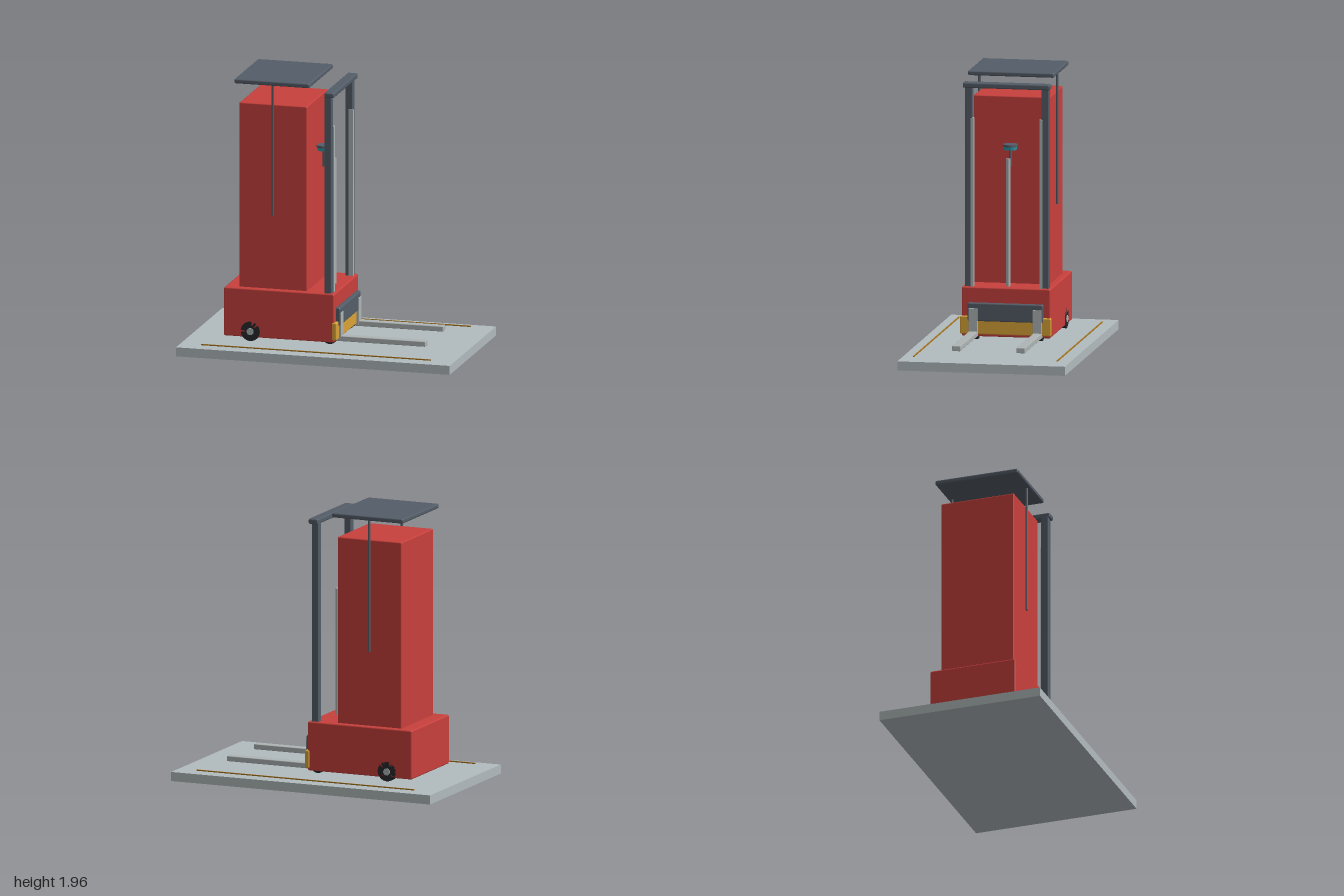
import * as THREE from 'three';
import { RoundedBoxGeometry } from 'three/addons/geometries/RoundedBoxGeometry.js';

const paint = (color) => new THREE.MeshStandardMaterial({ color });

export function createModel() {
  const model = new THREE.Group();
  const red = paint(0xc8403c);
  const dark = paint(0x545d68);
  const steel = paint(0xaeb4b5);
  const floor = paint(0xb2bbbe);
  const yellow = paint(0xdaa236);
  const ochre = paint(0xa8761f);
  const teal = paint(0x2fa5b5);
  const rubber = paint(0x25282c);

  const add = (name, geometry, material, x, y, z) => {
    const mesh = new THREE.Mesh(geometry, material);
    mesh.name = name;
    mesh.position.set(x, y, z);
    model.add(mesh);
    return mesh;
  };

  // Box given by its extents on each axis, with an optional rounded edge
  const box = (name, material, [x0, x1], [y0, y1], [z0, z1], r = 0) => {
    const size = [x1 - x0, y1 - y0, z1 - z0];
    const geometry = r ? new RoundedBoxGeometry(...size, 2, r) : new THREE.BoxGeometry(...size);
    return add(name, geometry, material, (x0 + x1) / 2, (y0 + y1) / 2, (z0 + z1) / 2);
  };

  // Upright cylinder between two heights
  const post = (name, material, r, x, [y0, y1], z, rBottom = r) =>
    add(name, new THREE.CylinderGeometry(r, rBottom, y1 - y0, 32), material, x, (y0 + y1) / 2, z);

  // Cylinder lying along z
  const disc = (name, material, r, width, x, y, z) => {
    const mesh = add(name, new THREE.CylinderGeometry(r, r, width, 32), material, x, y, z);
    mesh.rotation.x = Math.PI / 2;
  };

  // Floor slab
  box('floorSlab', floor, [-1, 1], [0, 0.065], [-0.6, 0.6]);

  // Chassis and tower
  box('chassis', red, [-0.73, 0.075], [0.102, 0.453], [-0.318, 0.318], 0.01);
  box('tower', red, [-0.63, -0.135], [0.44, 1.787], [-0.272, 0.272], 0.008);

  // Overhead guard and mast top
  box('roofPanel', dark, [-0.657, -0.108], [1.93, 1.963], [-0.308, 0.308], 0.01);
  box('mastCrossbar', dark, [0, 0.072], [1.87, 1.908], [-0.312, 0.312], 0.01);

  // Lift cylinder
  post('liftCylinder', steel, 0.016, -0.014, [0.44, 1.36], 0);

  // Control knob
  post('knobStem', dark, 0.01, -0.088, [1.295, 1.42], 0);
  post('knobRing', teal, 0.05, -0.088, [1.413, 1.438], 0, 0.044);
  post('knobCap', dark, 0.052, -0.088, [1.436, 1.452], 0);

  // Bumper and fork carriage
  box('bumper', yellow, [0.06, 0.095], [0.12, 0.247], [-0.326, 0.326], 0.008);
  box('forkCarriage', dark, [0.07, 0.107], [0.215, 0.345], [-0.27, 0.27], 0.01);

  // Paired parts on both sides
  for (const s of [1, -1]) {
    const span = (a, b) => (s > 0 ? [a, b] : [-b, -a]);
    box('floorLine', ochre, [-0.84, 0.84], [0.072, 0.08], span(0.51, 0.518));
    box('mastColumn', dark, [0, 0.05], [0.44, 1.88], span(0.247, 0.3), 0.005);
    box('mastRail', steel, [0.024, 0.058], [0.44, 1.655], span(0.235, 0.257));
    box('forkShank', steel, [0.08, 0.112], [0.105, 0.307], span(0.198, 0.262), 0.004);
    box('forkTine', steel, [0.08, 0.726], [0.103, 0.141], span(0.2, 0.261), 0.005);
    post('roofRod', dark, 0.009, -0.383, [0.985, 1.94], s * 0.278);

    disc('rearWheel', rubber, 0.07, 0.048, -0.537, 0.145, s * 0.294);
    disc('rearHub', steel, 0.025, 0.02, -0.537, 0.143, s * 0.314);
    disc('frontWheel', rubber, 0.057, 0.05, 0.025, 0.133, s * 0.23);
  }

  return model;
}
